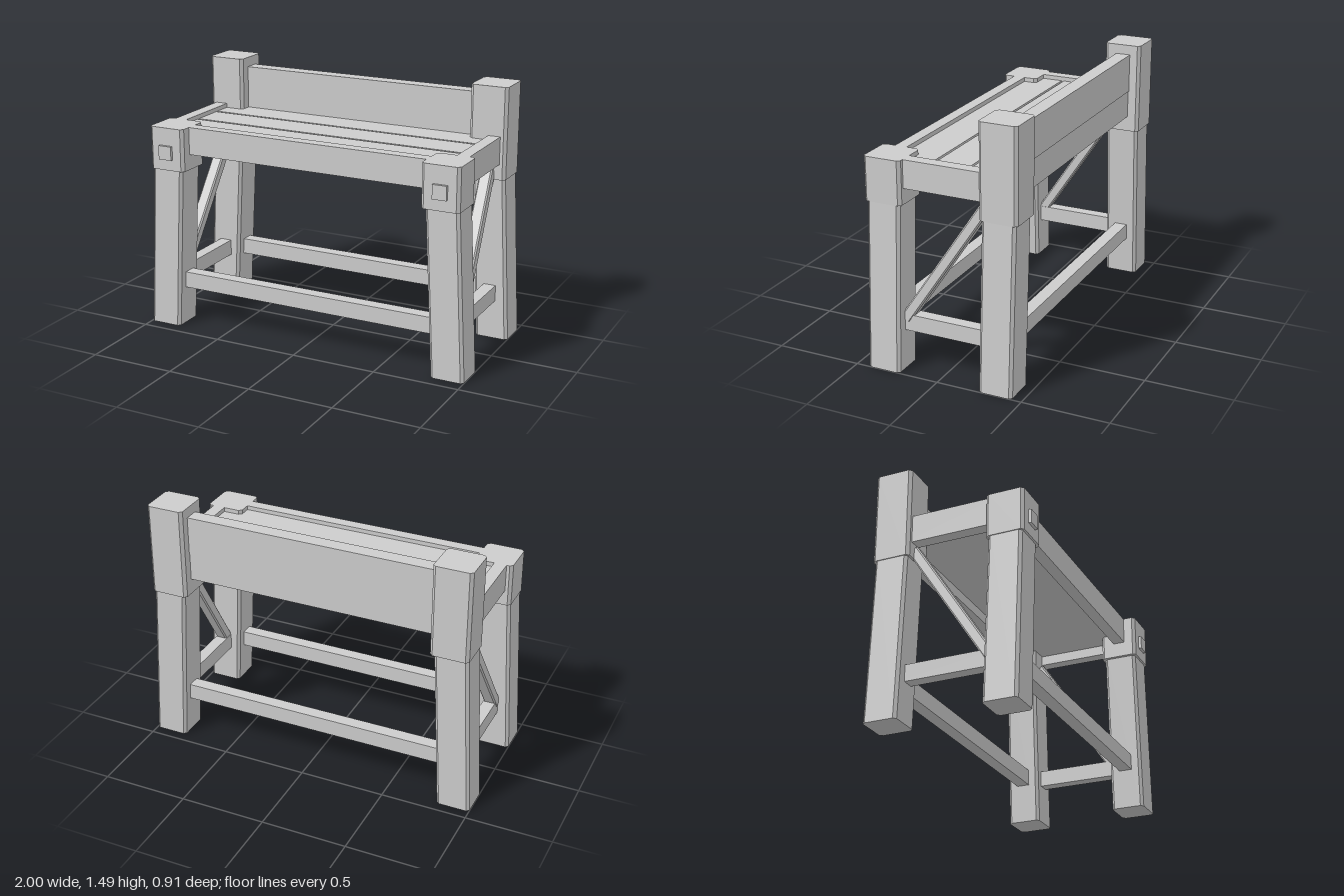
import * as THREE from 'three';

export function createModel() {
  const bench = new THREE.Group();
  bench.name = 'bench';
  const wood = new THREE.MeshStandardMaterial({ color: 0xcccccc });
  wood.name = 'plain grey';

  function add(name, geometry, x = 0, y = 0, z = 0) {
    const mesh = new THREE.Mesh(geometry, wood);
    mesh.name = name;
    mesh.position.set(x, y, z);
    bench.add(mesh);
    return mesh;
  }

  // Box given by its limits on each axis
  function beam(name, x0, x1, y0, y1, z0, z1) {
    return add(name, new THREE.BoxGeometry(x1 - x0, y1 - y0, z1 - z0),
      (x0 + x1) / 2, (y0 + y1) / 2, (z0 + z1) / 2);
  }

  // Upright post of rectangular section with chamfered long edges, base at y = 0
  function post(w, d, h, c) {
    const a = w / 2, b = d / 2;
    const outline = [[a, -b + c], [a, b - c], [a - c, b], [-a + c, b],
      [-a, b - c], [-a, -b + c], [-a + c, -b], [a - c, -b]];
    const shape = new THREE.Shape(outline.map(([x, y]) => new THREE.Vector2(x, y)));
    return new THREE.ExtrudeGeometry(shape, { depth: h, bevelEnabled: false }).rotateX(-Math.PI / 2);
  }

  const LEAN = 0.05 / 0.96;
  const frontZ = 0.33, backZ = -0.345;

  for (const s of [1, -1]) {
    const side = s > 0 ? 'left' : 'right';

    // Splayed legs with square heads
    for (const [end, z, top] of [['Front', frontZ, 1.21], ['Back', backZ, 1.492]]) {
      const leg = post(0.195, 0.195, 1.0, 0.016);
      leg.applyMatrix4(new THREE.Matrix4().set(
        1, -s * LEAN, 0, 0, 0, 1, 0, 0, 0, 0, 1, 0, 0, 0, 0, 1));
      leg.computeVertexNormals();
      add(side + end + 'Leg', leg, s * 0.9025, 0, z);
      add(side + end + 'Head', post(0.22, 0.22, top - 0.96, 0.017), s * 0.845, 0.96, z);
    }

    // Square peg on the front head
    beam(side + 'Peg', s * 0.847 - 0.041, s * 0.847 + 0.041, 1.025, 1.106, 0.43, 0.457);

    // Rails at the ends of the seat and low between the legs
    const rail = s * 0.884;
    beam(side + 'SeatRail', rail - 0.036, rail + 0.036, 1.05, 1.21, -0.3, 0.3);
    beam(side + 'Stretcher', rail - 0.036, rail + 0.036, 0.23, 0.325, backZ, frontZ);

    // Diagonal brace from the front leg foot to the back head
    const low = new THREE.Vector3(s * 0.888, 0.297, 0.23);
    const high = new THREE.Vector3(s * 0.852, 1.018, -0.245);
    const along = high.clone().sub(low);
    const brace = add(side + 'Brace', post(0.072, 0.061, along.length(), 0.008), low.x, low.y, low.z);
    brace.quaternion.setFromUnitVectors(new THREE.Vector3(0, 1, 0), along.normalize());
  }

  // Long rails and back board
  beam('frontSeatRail', -0.8, 0.8, 1.05, 1.21, 0.3, 0.37);
  beam('backSeatRail', -0.8, 0.8, 1.05, 1.21, -0.388, -0.306);
  beam('backBoard', -0.8, 0.8, 1.21, 1.435, -0.392, -0.306);
  beam('frontStretcher', -0.86, 0.86, 0.23, 0.325, frontZ - 0.038, frontZ + 0.038);
  beam('backStretcher', -0.86, 0.86, 0.23, 0.325, backZ - 0.038, backZ + 0.038);

  // Sunken seat: three planks on a base that closes the gaps
  beam('seatBase', -0.849, 0.849, 1.11, 1.165, -0.307, 0.301);
  for (const [z0, z1] of [[-0.307, -0.126], [-0.112, 0.083], [0.098, 0.301]]) {
    beam('seatPlank', -0.849, 0.849, 1.165, 1.185, z0, z1);
  }

  return bench;
}
